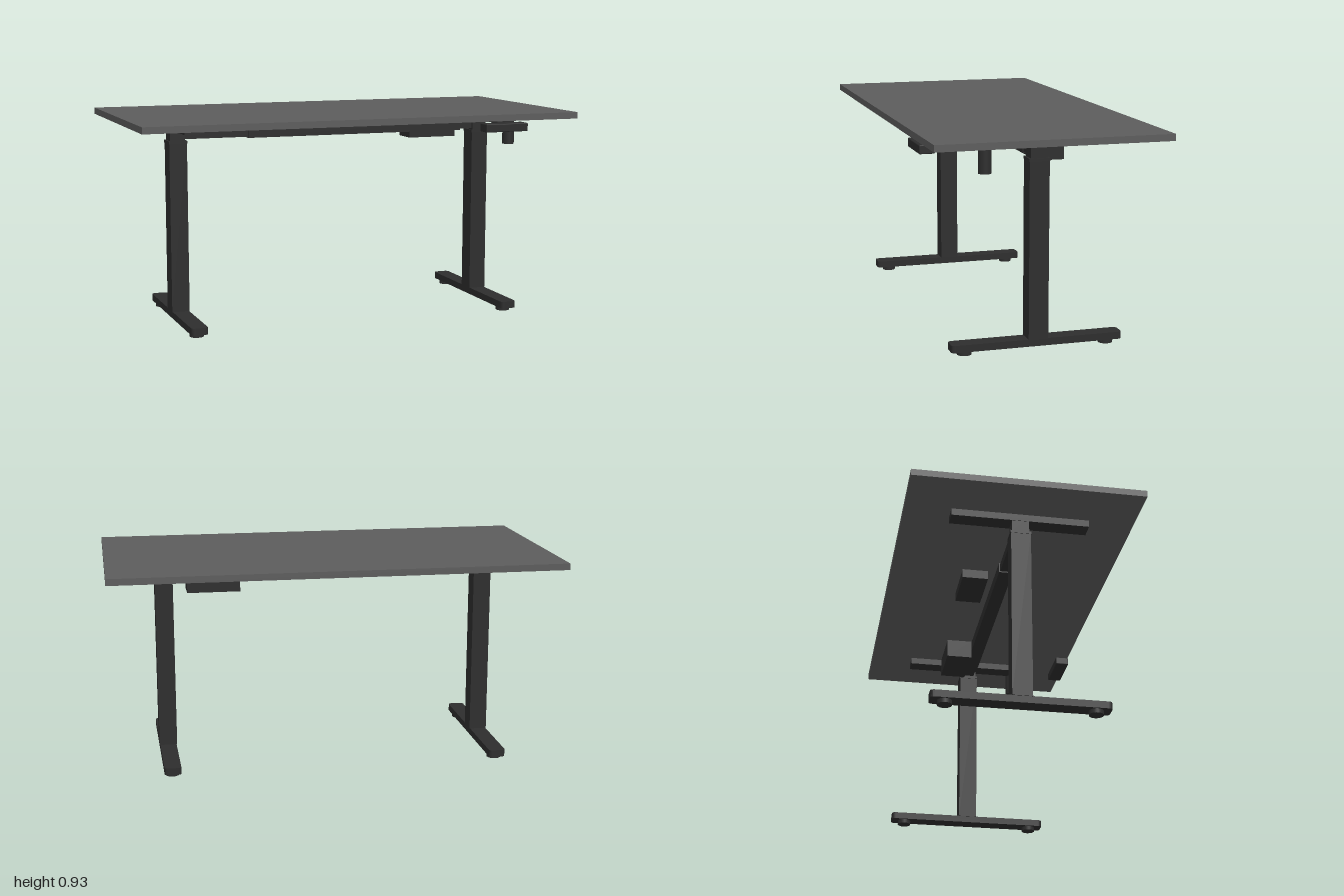
import * as THREE from 'three';
import { RoundedBoxGeometry } from 'three/addons/geometries/RoundedBoxGeometry.js';

export function createModel() {
  const desk = new THREE.Group();
  desk.name = 'standingDesk';

  const topGrey = new THREE.MeshStandardMaterial({ color: 0x5c5c5c });
  topGrey.name = 'top grey';
  const frameBlack = new THREE.MeshStandardMaterial({ color: 0x2d2d2d });
  frameBlack.name = 'frame black';

  const add = (name, geometry, material, x, y, z, parent = desk) => {
    const mesh = new THREE.Mesh(geometry, material);
    mesh.name = name;
    mesh.position.set(x, y, z);
    parent.add(mesh);
    return mesh;
  };

  // Box given by its lower and upper limits on each axis
  const box = (name, [x0, x1], [y0, y1], [z0, z1], material = frameBlack, parent = desk) =>
    add(name, new THREE.BoxGeometry(x1 - x0, y1 - y0, z1 - z0), material,
      (x0 + x1) / 2, (y0 + y1) / 2, (z0 + z1) / 2, parent);

  // Foot bar with rounded corners in plan
  const footGeometry = (w, l, h, r) => {
    const s = new THREE.Shape();
    const a = w / 2, b = l / 2;
    s.moveTo(-a + r, -b);
    s.lineTo(a - r, -b);
    s.quadraticCurveTo(a, -b, a, -b + r);
    s.lineTo(a, b - r);
    s.quadraticCurveTo(a, b, a - r, b);
    s.lineTo(-a + r, b);
    s.quadraticCurveTo(-a, b, -a, b - r);
    s.lineTo(-a, -b + r);
    s.quadraticCurveTo(-a, -b, -a + r, -b);
    const g = new THREE.ExtrudeGeometry(s, { depth: h, bevelEnabled: false, curveSegments: 5 });
    return g.rotateX(-Math.PI / 2);
  };

  box('tabletop', [-1, 1], [0.902, 0.931], [-0.5, 0.5], topGrey);

  // Two telescopic legs, each with a foot, pads and a top bracket
  for (const side of [-1, 1]) {
    const leg = new THREE.Group();
    leg.name = side > 0 ? 'leftLeg' : 'rightLeg';
    leg.position.x = side * 0.737;
    desk.add(leg);

    box('outerColumn', [-0.04, 0.04], [0.048, 0.816], [-0.043, 0.043], frameBlack, leg);
    box('columnCollar', [-0.042, 0.042], [0.806, 0.818], [-0.045, 0.045], frameBlack, leg);
    box('innerColumn', [-0.034, 0.034], [0.816, 0.902], [-0.037, 0.037], frameBlack, leg);
    box('topBracket', [-0.036, 0.036], [0.871, 0.902], [-0.3, 0.3], frameBlack, leg);
    add('foot', footGeometry(0.074, 0.75, 0.031, 0.018), frameBlack, 0, 0.018, 0, leg);
    for (const z of [-0.3125, 0.3125]) {
      add('footPad', new THREE.CylinderGeometry(0.031, 0.031, 0.018, 24), frameBlack, 0, 0.009, z, leg);
    }
  }

  // Telescopic crossbar between the legs
  box('crossbarInner', [-0.71, 0.71], [0.824, 0.862], [-0.026, 0.026]);
  box('crossbarOuter', [-0.41, 0.64], [0.819, 0.867], [-0.031, 0.031]);

  // Motor housing and control box behind the crossbar
  box('motorHousing', [0.405, 0.64], [0.784, 0.872], [-0.152, -0.031]);
  box('controlBox', [-0.282, -0.048], [0.851, 0.892], [-0.178, -0.06]);

  // Hand control under the front edge
  add('handControl', new RoundedBoxGeometry(0.205, 0.037, 0.065, 2, 0.004), frameBlack, 0.648, 0.872, 0.4665);

  // Round holder hanging beside the left bracket
  add('roundHolder', new THREE.CylinderGeometry(0.027, 0.027, 0.11, 24), frameBlack, 0.788, 0.825, 0.238);

  return desk;
}
